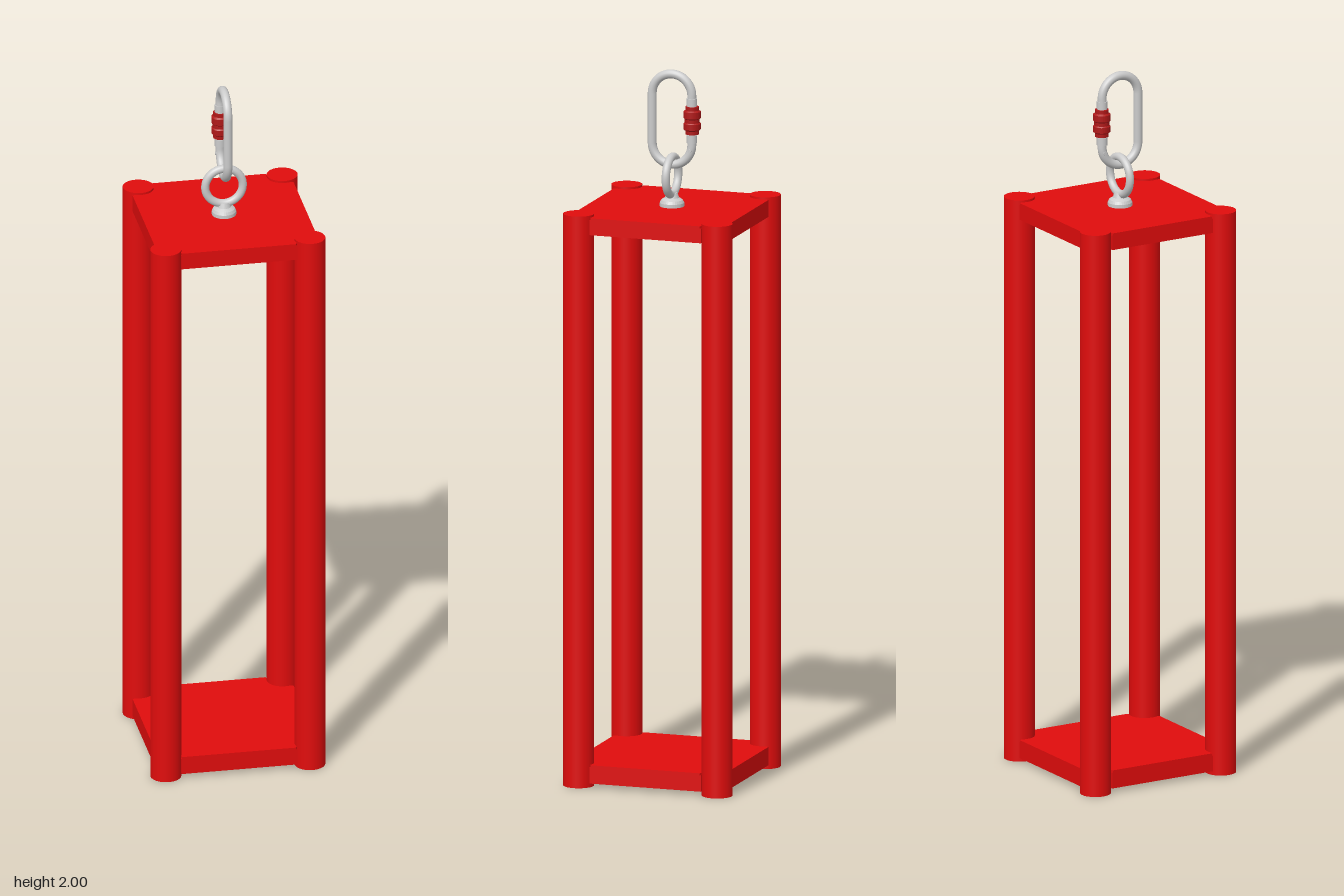
import * as THREE from 'three';

const red = new THREE.MeshStandardMaterial({ color: 0xe00c0c });
const darkRed = new THREE.MeshStandardMaterial({ color: 0xb01818 });
const grey = new THREE.MeshStandardMaterial({ color: 0xcccccc });

function add(parent, name, geometry, material, x = 0, y = 0, z = 0) {
  const mesh = new THREE.Mesh(geometry, material);
  mesh.name = name;
  mesh.position.set(x, y, z);
  parent.add(mesh);
  return mesh;
}

// Solid of revolution from [radius, height] pairs, with crisp steps
function turned(points, segments = 32) {
  const profile = points.map(([r, y]) => new THREE.Vector2(r, y));
  const parts = new THREE.LatheGeometry(profile, segments).toNonIndexed();
  parts.computeVertexNormals();
  return parts;
}

// Folded sheet tray: notched corners and four flanges hanging down
function createTray(name, top, depth) {
  const tray = new THREE.Group();
  tray.name = name;
  const edge = 0.227, half = 0.16, notch = 0.18, sheet = 0.006;
  const corner = [[half, edge], [notch, notch], [edge, half]];
  const outline = [
    ...corner,
    ...corner.map(([x, z]) => [x, -z]).reverse(),
    ...corner.map(([x, z]) => [-x, -z]),
    ...corner.map(([x, z]) => [-x, z]).reverse(),
  ].map(([x, z]) => new THREE.Vector2(x, z));
  const panel = new THREE.ExtrudeGeometry(new THREE.Shape(outline), { depth: sheet, bevelEnabled: false });
  panel.rotateX(-Math.PI / 2);
  add(tray, 'panel', panel, red, 0, top - sheet, 0);
  for (let i = 0; i < 4; i++) {
    const flange = new THREE.BoxGeometry(2 * half + 0.006, depth - sheet, sheet);
    flange.translate(0, top - sheet - (depth - sheet) / 2, edge - sheet / 2);
    flange.rotateY(i * Math.PI / 2);
    add(tray, 'flange', flange, red);
  }
  return tray;
}

// Closed oval in the yz plane: two straight sides joined by half circles
class Oval extends THREE.Curve {
  constructor(radius, low, high) {
    super();
    Object.assign(this, { radius, low, high });
  }
  getPoint(t, target = new THREE.Vector3()) {
    const { radius: r, low, high } = this;
    const arc = Math.PI * r, side = high - low;
    let d = (t % 1) * 2 * (arc + side);
    if (d < side) return target.set(0, low + d, r);
    d -= side;
    if (d < arc) return target.set(0, high + r * Math.sin(d / r), r * Math.cos(d / r));
    d -= arc;
    if (d < side) return target.set(0, high - d, -r);
    d -= side;
    return target.set(0, low - r * Math.sin(d / r), -r * Math.cos(d / r));
  }
}

function createEyeBolt() {
  const bolt = new THREE.Group();
  bolt.name = 'eyeBolt';
  add(bolt, 'shank', new THREE.CylinderGeometry(0.014, 0.014, 0.12, 24), grey, 0, 1.585, 0);
  add(bolt, 'collar', turned([
    [0, 1.612], [0.034, 1.612], [0.034, 1.624], [0.03, 1.632], [0.02, 1.638], [0.015, 1.652], [0, 1.652],
  ]), grey);
  add(bolt, 'eye', new THREE.TorusGeometry(0.053, 0.0115, 16, 48), grey, 0, 1.70, 0);
  return bolt;
}

function createCarabiner() {
  const carabiner = new THREE.Group();
  carabiner.name = 'carabiner';
  const radius = 0.058;
  add(carabiner, 'body', new THREE.TubeGeometry(new Oval(radius, 1.79, 1.93), 120, 0.0125, 16, true), grey);
  // Threaded locking sleeve with raised bands
  add(carabiner, 'lockingSleeve', turned([
    [0.012, 1.822], [0.019, 1.822], [0.019, 1.832], [0.024, 1.836], [0.024, 1.852],
    [0.021, 1.855], [0.021, 1.865], [0.024, 1.868], [0.024, 1.886],
    [0.019, 1.89], [0.019, 1.9], [0.012, 1.9],
  ]), darkRed, 0, 0, -radius - 0.001);
  // Gate ends above and below the sleeve
  for (const y of [1.808, 1.912]) {
    add(carabiner, 'gateEnd', new THREE.CylinderGeometry(0.015, 0.015, 0.022, 24), grey, 0, y, -radius);
  }
  // Hinge pin through the lower bend
  const pin = new THREE.CylinderGeometry(0.005, 0.005, 0.028, 16).rotateZ(Math.PI / 2);
  add(carabiner, 'hingePin', pin, grey, 0, 1.775, -radius + 0.002);
  return carabiner;
}

export function createModel() {
  const model = new THREE.Group();
  model.name = 'hangingFrame';

  // Corner posts
  for (const x of [-1, 1]) {
    for (const z of [-1, 1]) {
      add(model, 'post', new THREE.CylinderGeometry(0.043, 0.043, 1.62, 48), red, x * 0.203, 0.81, z * 0.203);
    }
  }

  model.add(createTray('topTray', 1.614, 0.048));
  model.add(createTray('bottomTray', 0.064, 0.052));
  model.add(createEyeBolt());
  model.add(createCarabiner());
  return model;
}
